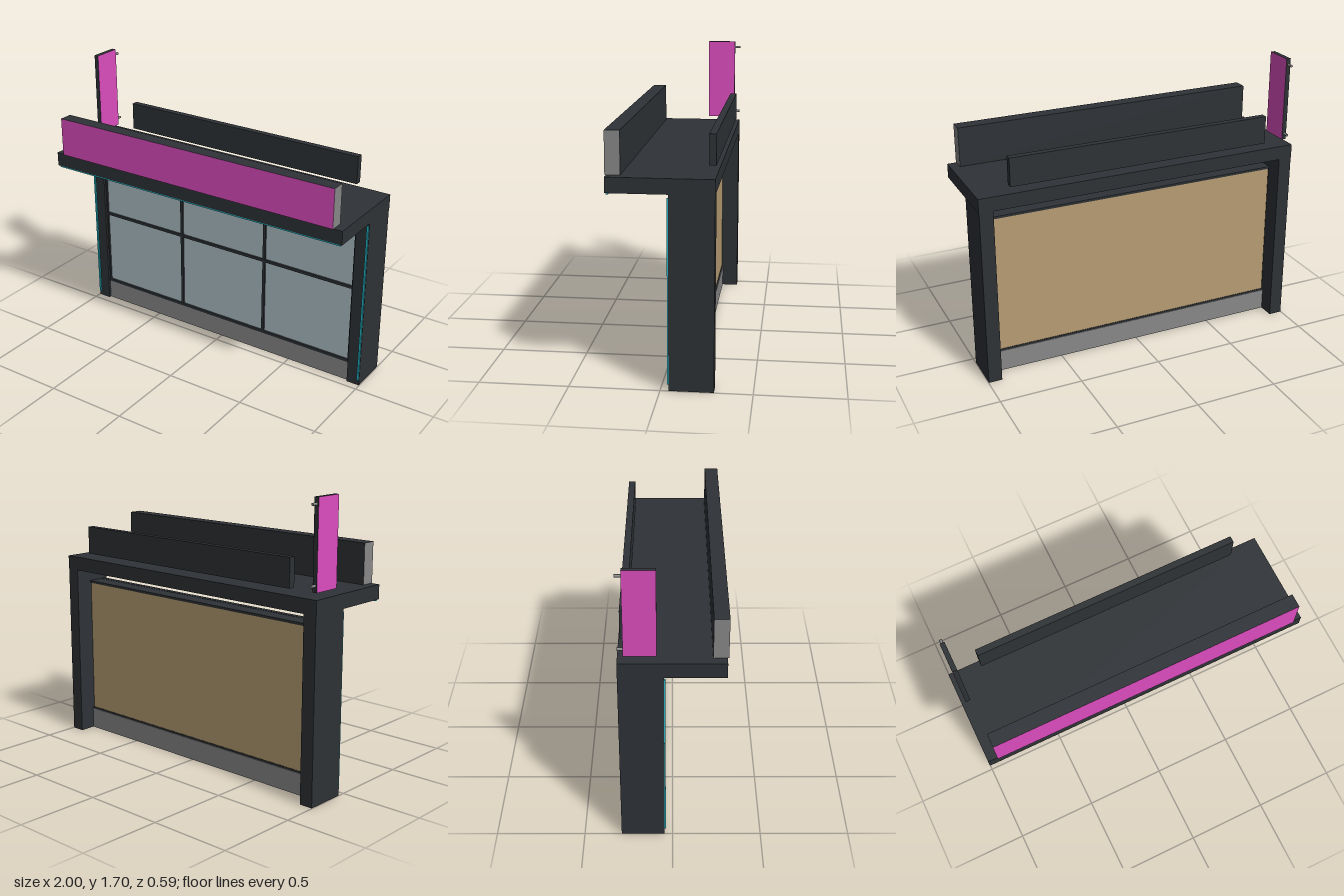
import * as THREE from 'three';

const mat = (color) => new THREE.MeshStandardMaterial({ color });

export function createModel() {
  const model = new THREE.Group();
  model.name = 'storefront';

  const dark = mat(0x2e3236);
  const grey = mat(0x888888);
  const magenta = mat(0xdd4dbf);
  const cyan = mat(0x22b8c8);
  const glass = mat(0xadbfc7);
  const tan = mat(0xb89d74);

  // Box given by its min and max along each axis
  function box(name, material, [x0, x1], [y0, y1], [z0, z1], parent = model) {
    const mesh = new THREE.Mesh(new THREE.BoxGeometry(x1 - x0, y1 - y0, z1 - z0), material);
    mesh.position.set((x0 + x1) / 2, (y0 + y1) / 2, (z0 + z1) / 2);
    mesh.name = name;
    parent.add(mesh);
    return mesh;
  }
  const around = (c, size) => [c - size / 2, c + size / 2];

  // Side pillars with light strips along the outer front edges
  for (const s of [-1, 1]) {
    const side = s > 0 ? 'left' : 'right';
    box(side + 'Pillar', dark, around(s * 0.957, 0.082), [0, 1.08], [-0.29, -0.045]);
    box(side + 'PillarLight', cyan, around(s * 0.99, 0.012), [0.035, 1.06], [-0.05, -0.038]);
  }

  // Canopy with light strip and recessed downlights underneath
  box('canopy', dark, [-1, 1], [1.08, 1.165], [-0.29, 0.287]);
  box('canopyLight', cyan, [-0.99, 0.99], [1.07, 1.081], [0.27, 0.282]);
  for (const x of [-0.66, -0.22, 0.22, 0.66]) {
    const lamp = new THREE.Mesh(new THREE.CylinderGeometry(0.02, 0.02, 0.01, 20), dark);
    lamp.position.set(x, 1.077, 0.07);
    lamp.name = 'downlight';
    model.add(lamp);
  }

  // Plinth under the window
  box('plinth', grey, [-0.916, 0.916], [0, 0.13], [-0.19, -0.06]);

  // Window: glass in front, timber backing behind
  const shopWindow = new THREE.Group();
  shopWindow.name = 'window';
  model.add(shopWindow);
  box('glass', glass, [-0.91, 0.91], [0.13, 0.985], [-0.085, -0.07], shopWindow);
  box('backPanel', tan, [-0.91, 0.91], [0.14, 0.985], [-0.183, -0.085], shopWindow);
  for (const y of [0.134, 0.635, 0.99]) {
    box('rail', dark, [-0.916, 0.916], around(y, 0.017), [-0.09, -0.058], shopWindow);
  }
  for (const x of [-0.911, -0.306, 0.306, 0.911]) {
    const w = Math.abs(x) > 0.5 ? 0.01 : 0.017;
    box('mullion', dark, around(x, w), [0.13, 0.998], [-0.09, -0.059], shopWindow);
  }
  for (const y of [0.134, 0.99]) {
    box('backRail', dark, [-0.916, 0.916], around(y, 0.014), [-0.186, -0.09], shopWindow);
  }

  // Fascia sign: magenta face, grey ends, dark top, bottom and back
  box('fasciaSign', [grey, grey, dark, dark, magenta, dark],
    [-0.945, 0.945], [1.165, 1.402], [0.212, 0.295]);

  // Rear parapet board, floating just above the canopy
  box('rearBoard', dark, [-0.81, 0.81], [1.2, 1.37], [-0.28, -0.24]);

  // Projecting blade sign with two wall brackets
  const blade = new THREE.Group();
  blade.name = 'bladeSign';
  model.add(blade);
  box('bladePanel', [magenta, magenta, dark, dark, dark, dark],
    [-0.975, -0.947], [1.195, 1.702], [-0.257, -0.082], blade);
  for (const y of [1.232, 1.665]) {
    const arm = new THREE.Mesh(new THREE.CylinderGeometry(0.008, 0.008, 0.037, 12), grey);
    arm.rotation.x = Math.PI / 2;
    arm.position.set(-0.961, y, -0.2735);
    arm.name = 'bladeBracket';
    blade.add(arm);
  }

  return model;
}
